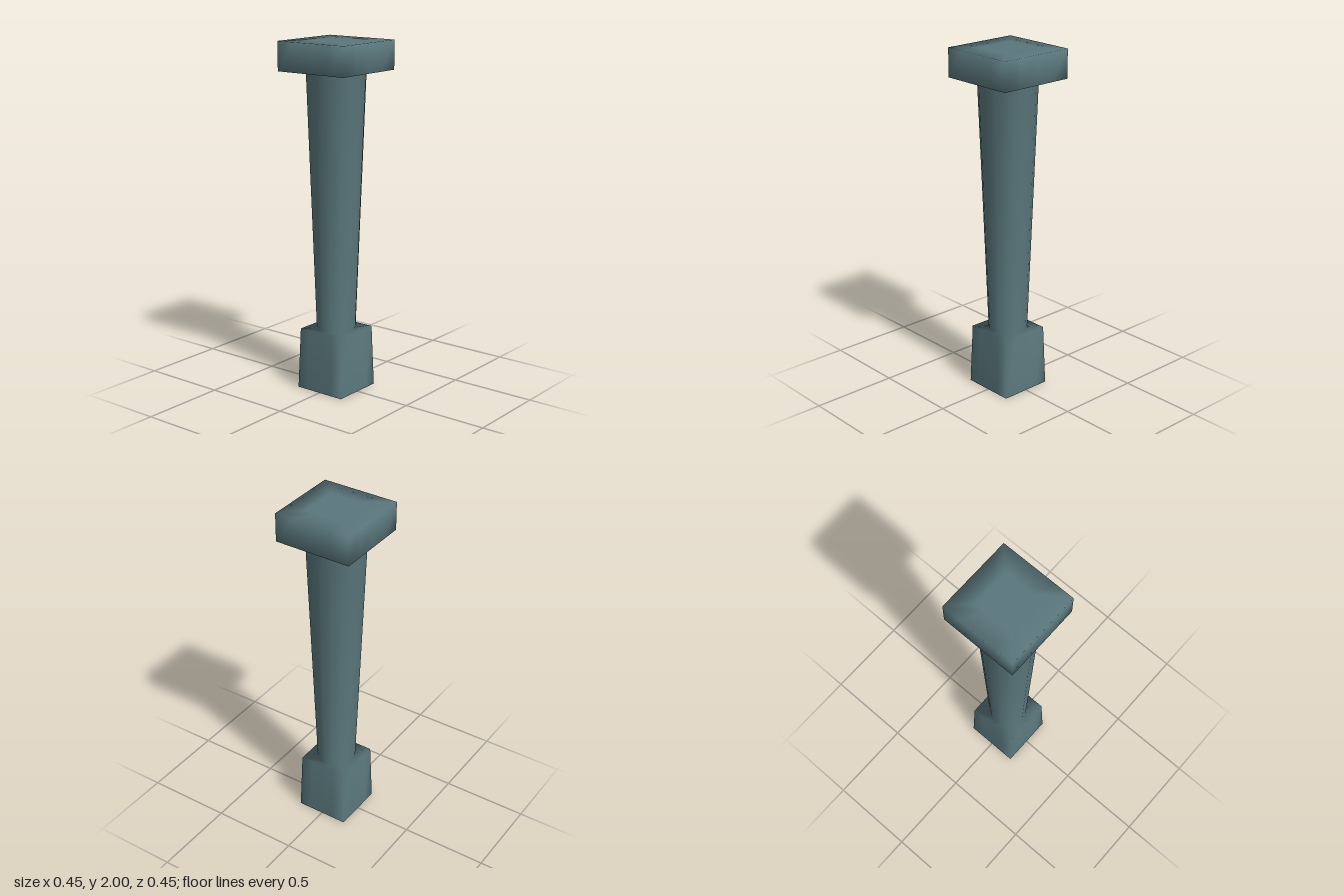
import * as THREE from 'three';

// Two matching outlines of 16 points, both starting at the front left corner
const SEGMENTS = 4;
const CORNERS = [[-1, 1], [1, 1], [1, -1], [-1, -1]];
const SQUARE = [];
const ROUND = [];
CORNERS.forEach(([x, z], i) => {
  const [nx, nz] = CORNERS[(i + 1) % 4];
  for (let j = 0; j < SEGMENTS; j++) {
    const t = j / SEGMENTS;
    const angle = Math.PI * (0.75 - (i + t) / 2);
    SQUARE.push([x + (nx - x) * t, z + (nz - z) * t]);
    ROUND.push([Math.cos(angle), Math.sin(angle)]);
  }
});

// Profile from the open foot to the top: [outline, half width, height]
const PROFILE = [
  [SQUARE, 0.156, 0], [SQUARE, 0.145, 0.355],     // square base block
  [ROUND, 0.112, 0.355], [ROUND, 0.168, 1.835],   // ledge and round flaring shaft
  [SQUARE, 0.227, 1.835], [SQUARE, 0.227, 2],     // cap underside and sides
  [SQUARE, 0.1135, 2], [SQUARE, 0, 2],            // cap top, closed at the centre
];

// Which profile bands belong to which part
const PARTS = { base: [0, 2], shaft: [2, 3], cap: [3, 7] };

export function createModel() {
  const group = new THREE.Group();
  group.name = 'pillar';
  const stone = new THREE.MeshStandardMaterial({ color: 0x5a777c, side: THREE.DoubleSide });
  stone.name = 'blue grey stone';

  const n = SQUARE.length;
  const positions = [];
  for (const [outline, r, y] of PROFILE) {
    for (const [x, z] of outline) positions.push(x * r, y, z * r);
  }

  const bandIndices = (from, to) => {
    const index = [];
    for (let k = from; k < to; k++) {
      for (let i = 0; i < n; i++) {
        const a = k * n + i, b = k * n + (i + 1) % n;
        index.push(a, b, b + n);
        if (PROFILE[k + 1][1] > 0) index.push(a, b + n, a + n);
      }
    }
    return index;
  };

  // Normals run smoothly over the whole pillar, so compute them before splitting
  const whole = new THREE.BufferGeometry();
  whole.setAttribute('position', new THREE.Float32BufferAttribute(positions, 3));
  whole.setIndex(bandIndices(0, PROFILE.length - 1));
  whole.computeVertexNormals();

  for (const [name, [from, to]] of Object.entries(PARTS)) {
    const geometry = whole.clone();
    geometry.setIndex(bandIndices(from, to));
    const mesh = new THREE.Mesh(geometry, stone);
    mesh.name = name;
    group.add(mesh);
  }
  return group;
}
